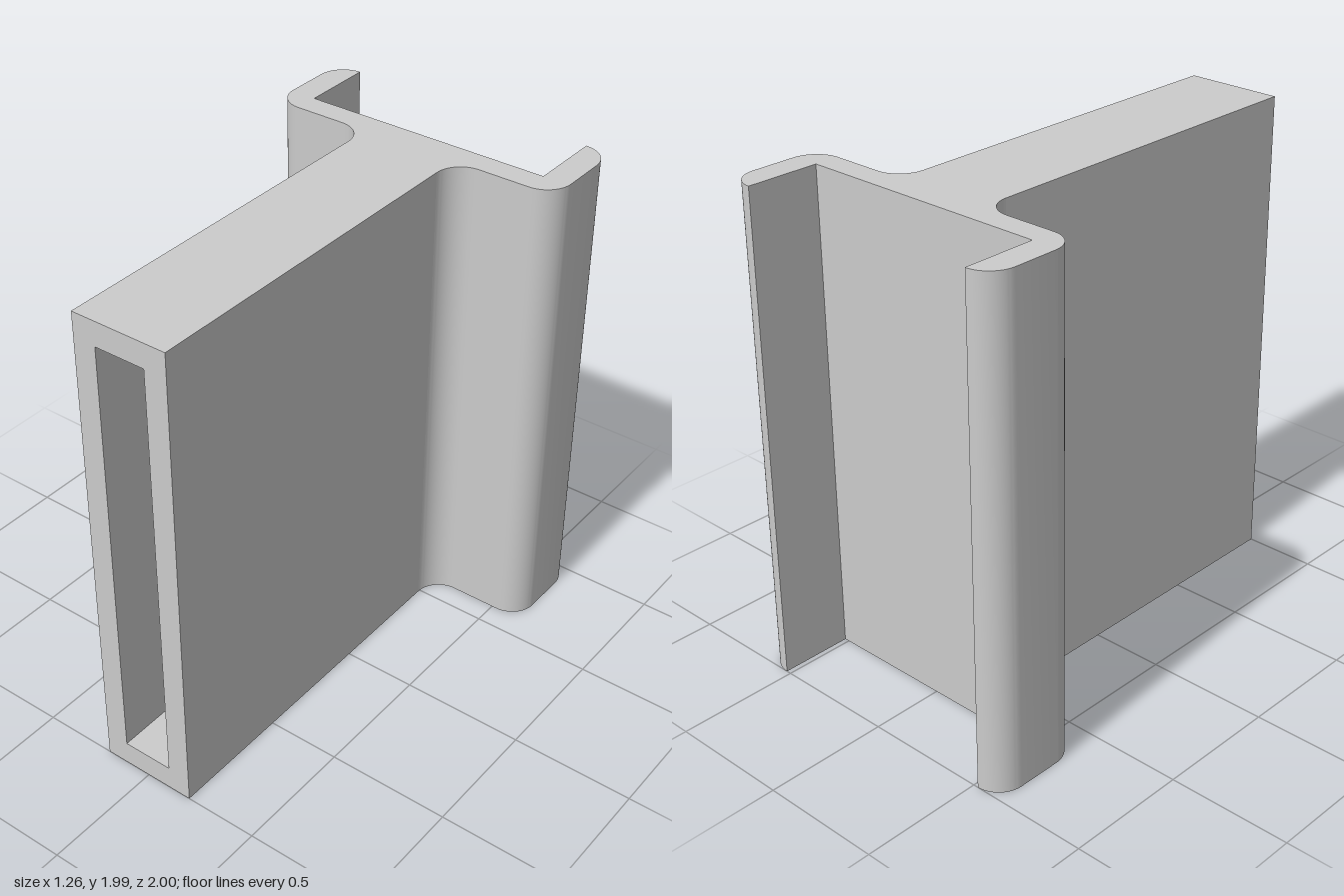
import * as THREE from 'three';
import { toCreasedNormals } from 'three/addons/utils/BufferGeometryUtils.js';

const HEIGHT = 1.99;
const material = new THREE.MeshStandardMaterial({ color: 0xcccccc });

function extrude(shape, depth) {
  return new THREE.ExtrudeGeometry(shape, { depth, bevelEnabled: false, curveSegments: 12 });
}

// Stand a plan profile (shape y = -z) upright over the full height
function upright(name, shape) {
  const geometry = extrude(shape, HEIGHT).rotateX(-Math.PI / 2);
  const mesh = new THREE.Mesh(toCreasedNormals(geometry, 0.6), material);
  mesh.name = name;
  return mesh;
}

// U-shaped channel with rounded outer corners
function channelShape() {
  const w = 0.63, inner = 0.52, r = 0.11;
  const s = new THREE.Shape();
  s.moveTo(-w + r, 0.6);
  s.lineTo(w - r, 0.6);
  s.absarc(w - r, 0.6 + r, r, -Math.PI / 2, 0, false);
  s.lineTo(w, 1 - r);
  s.absarc(w - r, 1 - r, r, 0, Math.PI / 2, false);
  s.lineTo(inner, 0.7);
  s.lineTo(-inner, 0.7);
  s.lineTo(-inner, 1);
  s.absarc(-w + r, 1 - r, r, Math.PI / 2, Math.PI, false);
  s.lineTo(-w, 0.6 + r);
  s.absarc(-w + r, 0.6 + r, r, Math.PI, Math.PI * 1.5, false);
  return s;
}

// Concave fillet between stem and channel
function filletShape(side) {
  const r = 0.11;
  const s = new THREE.Shape();
  s.moveTo(side * 0.2, 0.6);
  s.lineTo(side * (0.2 + r), 0.6);
  s.absarc(side * (0.2 + r), 0.6 - r, r, Math.PI / 2, side > 0 ? Math.PI : 0, side < 0);
  s.closePath();
  return s;
}

function rectangle(path, x, y0, y1) {
  path.moveTo(-x, y0);
  path.lineTo(x, y0);
  path.lineTo(x, y1);
  path.lineTo(-x, y1);
  path.closePath();
  return path;
}

export function createModel() {
  const group = new THREE.Group();
  group.name = 'channelBracket';

  group.add(upright('rearChannel', channelShape()));
  group.add(upright('leftFillet', filletShape(1)));
  group.add(upright('rightFillet', filletShape(-1)));

  // Hollow stem, open at the front and closed by the channel behind
  const frame = rectangle(new THREE.Shape(), 0.2, 0, HEIGHT);
  frame.holes.push(rectangle(new THREE.Path(), 0.105, 0.1, 1.89));
  const stem = new THREE.Mesh(extrude(frame, 1.6), material);
  stem.name = 'hollowStem';
  stem.position.z = -0.6;
  group.add(stem);

  return group;
}
